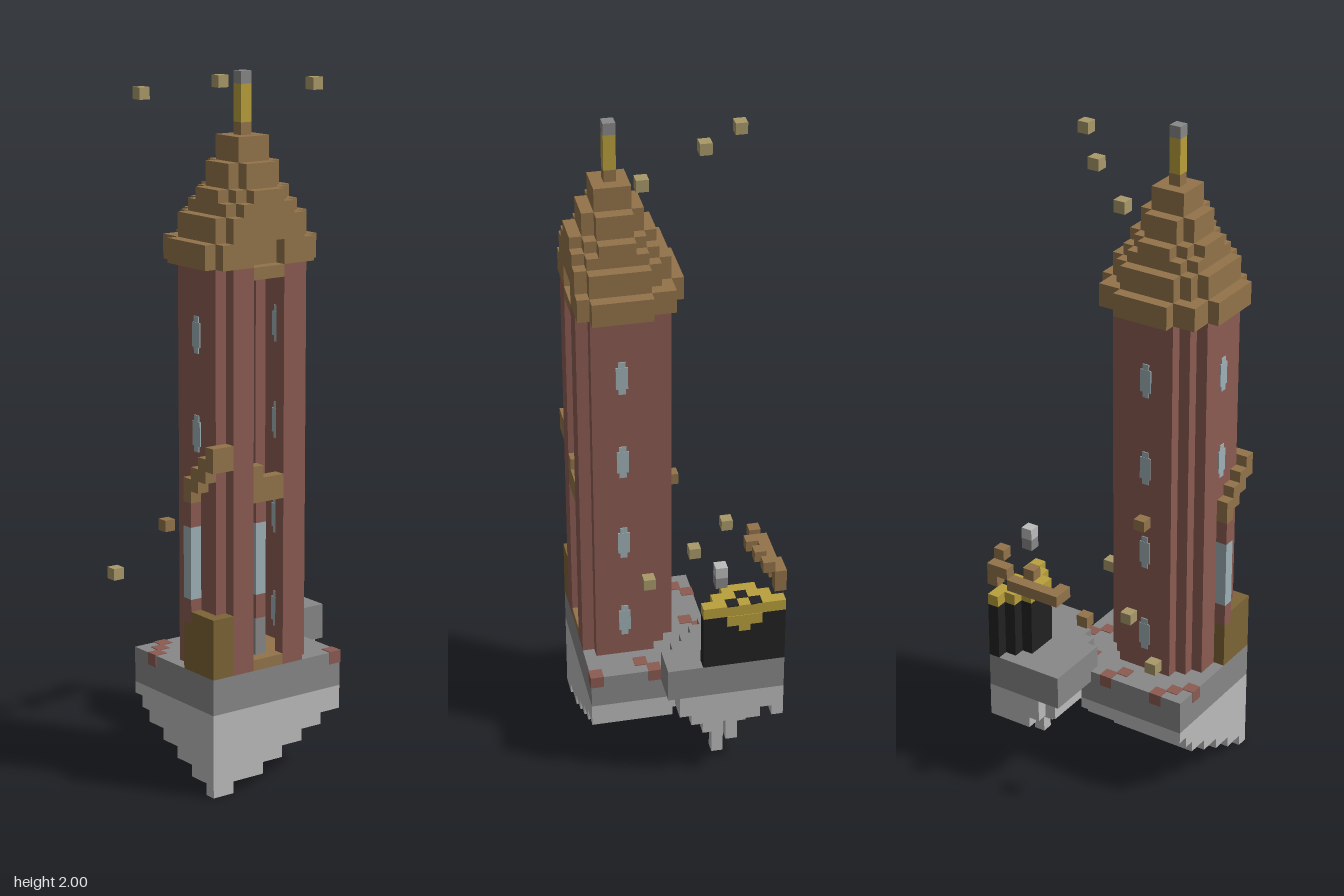
import * as THREE from 'three';
import { mergeGeometries } from 'three/addons/utils/BufferGeometryUtils.js';

const V = 2 / 58; // size of one block

function material(name, color) {
  const m = new THREE.MeshStandardMaterial({ color });
  m.name = name;
  return m;
}

export function createModel() {
  const model = new THREE.Group();
  const brick = material('brick', 0x8b5c52);
  const wood = material('wood', 0x93744a);
  const rock = material('rock', 0x888888);
  const paleRock = material('paleRock', 0xbcbcbc);
  const black = material('black', 0x222222);
  const gold = material('gold', 0xbaa03c);
  const tan = material('tan', 0xaa9a6a);
  const glass = material('glass', 0x9fb2b8);
  const olive = material('olive', 0x7d6536);

  // Box between two corners, in block units
  const box = (x0, x1, y0, y1, z0, z1) =>
    new THREE.BoxGeometry((x1 - x0) * V, (y1 - y0) * V, (z1 - z0) * V)
      .translate((x0 + x1) * V / 2, (y0 + y1) * V / 2, (z0 + z1) * V / 2);

  // Layer of blocks chosen by a rule, joined into runs along x
  function layer(y0, y1, inside) {
    const out = [];
    for (let z = -8; z < 8; z++) {
      let start = null;
      for (let x = -8; x <= 8; x++) {
        const on = x < 8 && inside(x, z);
        if (on && start === null) start = x;
        if (!on && start !== null) {
          out.push(box(start, x, y0, y1, z, z + 1));
          start = null;
        }
      }
    }
    return out;
  }

  function add(name, mat, geometries) {
    const mesh = new THREE.Mesh(mergeGeometries(geometries), mat);
    mesh.name = name;
    model.add(mesh);
  }
  const cube = (x, y, z) => box(x, x + 1, y, y + 1, z, z + 1);

  // Round plan about the tower axis, by squared radius in blocks
  const round = (r2) => (x, z) => (x + 3) ** 2 + (z - 4) ** 2 <= r2;

  // Main island: a stepped corner wedge, pale below and darker on top
  const wedge = (xMax, zMin) => (x, z) => x < xMax && z >= zMin && (xMax - 1 - x) + (z - zMin) >= Math.min(3, (xMax + 8) / 4);
  const steps = [[-5, 7], [-3, 5], [-1, 3], [1, 1], [3, -1], [5, -2], [5, -3]];
  add('islandUnderside', paleRock, steps.flatMap(([x, z], y) => layer(y, y + 1, wedge(x, z))));
  add('islandTop', rock, layer(7, 10, wedge(5, -3)));
  const e = 0.06;
  const tiles = [[-6, -3], [-7, -2], [-8, -1], [-1, -3], [-2, -2], [2, -1], [4, 2], [3, 3], [4, 7]];
  add('brickTiles', brick, tiles.map(([x, z]) => box(x - e, x + 1 + e, 9, 10 + e, z - e, z + 1 + e)));

  // Tower shell, open where it is cut at the front
  const outer = round(20);
  const hollow = (x, z) => {
    const a = Math.abs(x + 3), b = Math.abs(z - 4);
    return Math.max(a, b) <= 3 && a + b <= 4;
  };
  add('towerWall', brick, layer(10, 43, (x, z) => outer(x, z) && !hollow(x, z)));
  add('towerFloors', wood, [
    ...layer(10, 10.9, (x, z) => hollow(x, z)),
    ...layer(42, 43, (x, z) => hollow(x, z)),
  ]);

  // Narrow windows with trimmed ends, seen from both sides of the wall
  const panes = [];
  for (const y of [12, 20, 28, 36]) {
    for (const [w, h] of [[0.5, 0.5], [0.3, 0]]) {
      panes.push(box(-2.5 - w, -2.5 + w, y + h, y + 3 - h, -0.05 - w / 10, 1.05 + w / 10));
      panes.push(box(0.95 - w / 10, 2.05 + w / 10, y + h, y + 3 - h, 4.5 - w, 4.5 + w));
      if (y > 24) panes.push(box(-7.05 - w / 10, -5.95 + w / 10, y + h, y + 3 - h, 4.5 - w, 4.5 + w));
    }
  }
  add('windows', glass, panes);

  // Tall glazed shafts, one at the side and one inside the opening
  for (const [x, z, name] of [[-8, 4, 'sideShaft'], [-3, 6, 'frontShaft']]) {
    const part = (y0, y1) => box(x, x + 1, y0, y1, z, z + 1);
    add(name + 'Brick', brick, [part(22, 24), part(14, 16)]);
    add(name + 'Glass', glass, [part(16, 22)]);
    add(name + 'Base', x < -7 ? olive : rock, [part(10, 14)]);
  }

  // Stairs climbing the outside, front landing, and the corner crate
  const stairs = [0, 1, 2, 3].map((i) => box(-8, i === 3 ? -6 : -7, 24 + i, 26 + i, 4 + i, 5 + i));
  add('stairs', wood, stairs);
  add('landing', wood, [box(-4, -1, 24, 26, 7, 8), box(-4, -3, 26, 27, 7, 8), box(-3, -2, 24, 25, 6, 7)]);
  add('cornerCrate', olive, [box(-8, -7, 10, 15, 5, 8), box(-7, -6, 10, 15, 7, 8)]);

  // Stepped roof with a notch in the cut front, and its finial
  const roof = [[43, 45, 33], [45, 47, 20], [47, 49, 10], [49, 51, 5], [51, 53, 2], [53, 54, 0]];
  const notch = (x, z, y) => z === 7 && Math.abs(x + 3) < 2 && y < 45;
  add('roof', wood, roof.flatMap(([a, b, r2]) => layer(a, b, (x, z) => round(r2)(x, z) && !notch(x, z, a))));
  // Ragged shingles half a step up each tier
  const ragged = [[45, 24], [47, 13], [49, 8]];
  add('shingles', wood, ragged.flatMap(([y, r2]) =>
    layer(y, y + 1, (x, z) => round(r2)(x, z) && (x + z) % 2 === 0)));
  add('finial', gold, [box(-3, -2, 54, 57, 4, 5)]);
  add('finialTip', rock, [box(-3, -2, 57, 58, 4, 5)]);

  // Small island: part of a disc, with rock hanging below
  const disc = (r) => (x, z) => x > 0 && (x + 0.5 - 8) ** 2 + (z + 0.5 + 5) ** 2 <= r * r;
  add('smallIslandTop', rock, layer(9, 12, disc(7.05)));
  add('smallIslandUnderside', paleRock, [
    ...layer(7, 9, disc(6)),
    ...layer(6, 7, (x, z) => disc(4.6)(x, z) && z !== -7),
    box(6, 7, 2, 6, -3, -2), box(7, 8, 4, 6, -4, -3),
    box(5, 7, 5, 6, -5, -3), box(7, 8, 5, 6, -2, -1),
  ]);

  // Black half-round vessel with a gold rim
  const pot = (x, z) => x >= 5 && Math.abs(z + 5) <= x - 4;
  add('vessel', black, layer(12, 17, pot));
  add('vesselRim', gold, [
    ...layer(17, 18, pot),
    box(7, 8.05, 16, 17, -6, -3), box(7, 8.05, 15.4, 16, -5, -4),
  ]);
  add('vesselHoles', black, [[7, -6], [6, -5], [7, -4]].map(([x, z]) =>
    box(x, x + 1, 17.95, 18.05, z, z + 1)));

  // Floating beam and the hovering stone
  add('beam', wood, [
    box(1, 6, 19, 20, -8, -7), box(6, 8, 20, 21, -8, -7), box(7, 8, 19, 20, -8, -7),
    cube(1, 19, -7), cube(4, 20, -7), cube(7, 21, -7),
  ]);
  add('hoverStoneTop', paleRock, [cube(7, 21, -3)]);
  add('hoverStoneBase', rock, [cube(7, 20, -3)]);

  // Loose drifting blocks
  add('tanBlocks', tan, [
    cube(-5, 55, -7), cube(0, 56, -3), cube(5, 56, 3),
    cube(2, 17, 2), cube(-3, 16, -3), cube(-8, 15, -7),
  ]);
  add('woodBlocks', wood, [cube(-2, 18, -8), cube(-3, 24, -1)]);

  return model;
}
